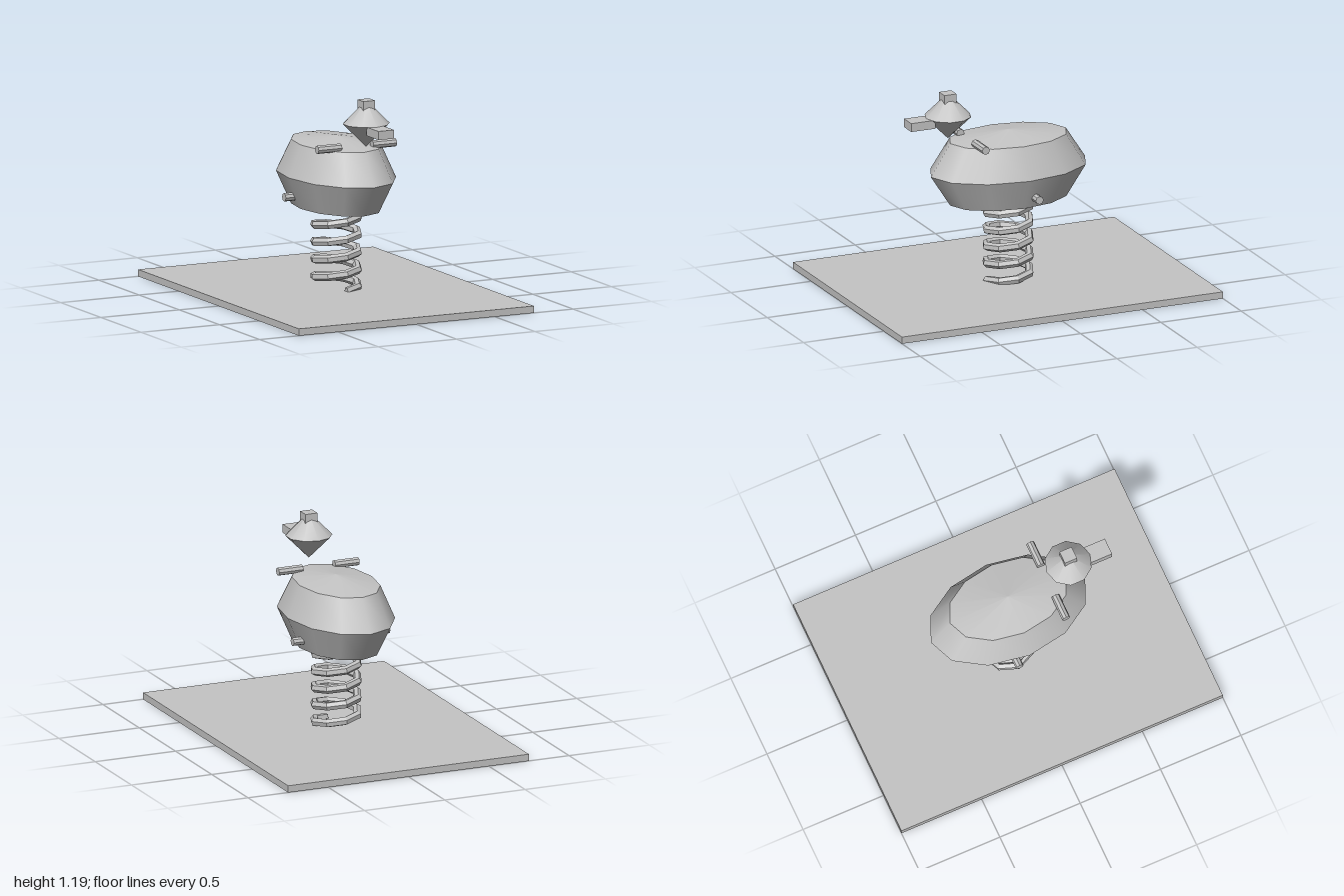
import * as THREE from 'three';

const gray = new THREE.MeshStandardMaterial({ color: 0xc4c4c4 });
gray.name = 'lightGray';

// Split vertices so that every face is shaded flat
function flat(geometry) {
  const g = geometry.index ? geometry.toNonIndexed() : geometry;
  g.computeVertexNormals();
  return g;
}

// Rises at a steady pitch, starting at the front and turning toward +x
class Helix extends THREE.Curve {
  constructor(radius, y0, pitch, turns) {
    super();
    Object.assign(this, { radius, y0, pitch, turns });
  }
  getPoint(t, target = new THREE.Vector3()) {
    const a = t * this.turns * Math.PI * 2;
    return target.set(
      Math.sin(a) * this.radius,
      this.y0 + this.pitch * this.turns * t,
      Math.cos(a) * this.radius
    );
  }
}

export function createModel() {
  const model = new THREE.Group();
  model.name = 'springRider';

  function add(parent, name, geometry, x = 0, y = 0, z = 0) {
    const mesh = new THREE.Mesh(geometry, gray);
    mesh.name = name;
    mesh.position.set(x, y, z);
    parent.add(mesh);
    return mesh;
  }

  // Turned shape with a sharp edge at every profile point, smooth around its axis
  function bandedLathe(name, profile, sides, depthScale, x, y, z) {
    const group = new THREE.Group();
    group.name = name;
    group.position.set(x, y, z);
    for (let i = 0; i < profile.length - 1; i++) {
      const points = [profile[i], profile[i + 1]].map(p => new THREE.Vector2(...p));
      const band = new THREE.LatheGeometry(points, sides).scale(1, 1, depthScale);
      add(group, name + 'Band' + (i + 1), band);
    }
    model.add(group);
  }

  // Ground plate
  add(model, 'basePlate', new THREE.BoxGeometry(1.5, 0.04, 2), 0, 0.02, 0);

  // Coil spring with its open lower end closed
  const spring = new Helix(0.13, 0.04, 0.1, 5);
  add(model, 'spring', flat(new THREE.TubeGeometry(spring, 40, 0.025, 6)));
  add(model, 'springEnd', new THREE.CircleGeometry(0.025, 6).rotateY(-Math.PI / 2), 0, 0.04, 0.13);

  // Oval body
  bandedLathe('body',
    [[0, -0.225], [0.225, -0.185], [0.3, 0], [0.225, 0.185], [0, 0.225]],
    12, 1.6, 0, 0.7, 0);

  // Head, crest and beak
  bandedLathe('head', [[0, -0.135], [0.135, 0], [0, 0.135]], 10, 1, 0, 1.055, 0.375);
  add(model, 'crest', new THREE.BoxGeometry(0.075, 0.075, 0.075), 0, 1.1525, 0.375);
  add(model, 'beak', new THREE.BoxGeometry(0.1, 0.05, 0.15), 0, 1.03, 0.55);

  // Hand grips and foot pegs on both sides
  for (const [side, label] of [[1, 'left'], [-1, 'right']]) {
    const bar = () => flat(new THREE.CylinderGeometry(0.024, 0.024, 0.15, 8).rotateZ(Math.PI / 2));
    add(model, label + 'HandGrip', bar(), side * 0.175, 0.902, 0.25);
    add(model, label + 'FootPeg', bar(), side * 0.225, 0.578, -0.062);
  }

  return model;
}
